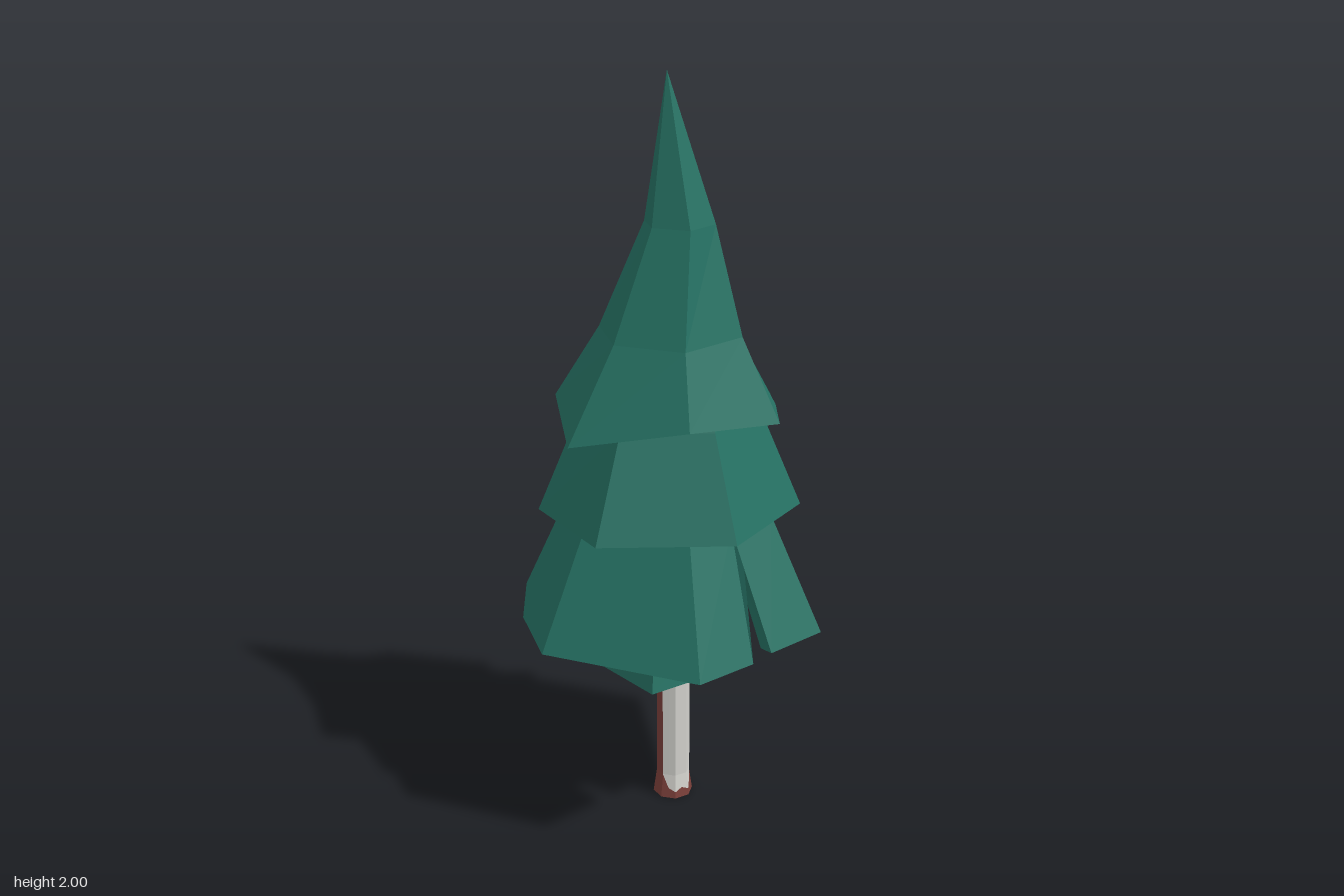
import * as THREE from 'three';

const needles = new THREE.MeshStandardMaterial({ color: 0x267163 });
const bark = new THREE.MeshStandardMaterial({ color: 0x7c403a });
const paleBark = new THREE.MeshStandardMaterial({ color: 0xd2d1cc });

const AXIS = [0.015, -0.01];

// Joins rings of [x, y, z] points into a faceted skin
function loft(name, rings, material, closed = true) {
  const pos = [];
  const a = new THREE.Vector3(), b = new THREE.Vector3(), c = new THREE.Vector3();
  const tri = (p, q, r) => {
    a.fromArray(p); b.fromArray(q); c.fromArray(r);
    if (b.sub(a).cross(c.sub(a)).length() > 1e-8) pos.push(...p, ...q, ...r);
  };
  for (let k = 0; k + 1 < rings.length; k++) {
    const lo = rings[k], hi = rings[k + 1], n = lo.length;
    for (let i = 0; i < (closed ? n : n - 1); i++) {
      const j = (i + 1) % n;
      tri(lo[i], lo[j], hi[j]);
      tri(lo[i], hi[j], hi[i]);
    }
  }
  const geo = new THREE.BufferGeometry();
  geo.setAttribute('position', new THREE.Float32BufferAttribute(pos, 3));
  geo.computeVertexNormals();
  const mesh = new THREE.Mesh(geo, material);
  mesh.name = name;
  return mesh;
}

// Scales a ring about the trunk axis, optionally moving it to height y
const scaled = (ring, s, y) => ring.map(p => [
  AXIS[0] + (p[0] - AXIS[0]) * s, y ?? p[1], AXIS[1] + (p[2] - AXIS[1]) * s]);

// Rim without its slit: the slit's three columns meet in one point
function withoutSlit(rim, k) {
  if (k === undefined) return rim;
  const l = rim[k - 1], r = rim[k + 1];
  const mid = l.map((v, i) => (v + r[i]) / 2);
  return rim.map((p, i) => (Math.abs(i - k) < 2 ? mid : p));
}

// A hollow skirt of branches: ceiling, inner wall, rim, outer rings, tip
function tier(name, rim, rings, tip) {
  const inner = scaled(rings[0], 0.87);
  const ceiling = rim.map(() => [AXIS[0], rings[0][0][1], AXIS[1]]);
  return loft(name, [ceiling, inner, scaled(rim, 0.9), rim, ...rings, rim.map(() => tip)], needles);
}

export function createModel() {
  const tree = new THREE.Group();
  tree.name = 'pineTree';

  // Small lowest skirt
  const low = [[0.07, 0.45, 0.215], [0.205, 0.46, 0.11], [0.235, 0.49, -0.02], [0.19, 0.455, -0.15],
    [0, 0.455, -0.235], [-0.17, 0.45, -0.14], [-0.21, 0.44, 0.1]];
  tree.add(tier('lowestBranches', low, [scaled(low, 0.8, 0.64)], [0.015, 0.7, -0.01]));

  // Widest skirt, slit at the front
  const wide = [[-0.29, 0.575, 0.31], [-0.115, 0.57, 0.35], [-0.068, 0.8, 0.285], [-0.055, 0.58, 0.365],
    [0.12, 0.58, 0.405], [0.41, 0.58, 0.095], [0.29, 0.575, -0.31], [-0.12, 0.58, -0.41],
    [-0.275, 0.575, -0.285], [-0.41, 0.58, -0.1]];
  const wideUp = withoutSlit(wide, 2);
  tree.add(tier('wideBranches', wide, [scaled(wideUp, 0.66, 0.89), scaled(wideUp, 0.48, 1.05)], [0.015, 1.1, -0.01]));

  // Middle skirt, slit at the back
  const middle = [[-0.13, 0.89, 0.305], [0.215, 0.88, 0.27], [0.355, 0.865, -0.05], [0.145, 0.85, -0.33],
    [-0.03, 0.85, -0.35], [-0.17, 0.87, -0.295], [-0.135, 1.08, -0.215], [-0.21, 0.87, -0.275],
    [-0.34, 0.885, 0.025]];
  const midUp = withoutSlit(middle, 6);
  tree.add(tier('middleBranches', middle, [scaled(midUp, 0.67, 1.15), scaled(midUp, 0.45, 1.3)], [0.015, 1.36, -0.01]));

  // Pointed crown, slit at the front on its left
  const crown = [[0.105, 1.135, 0.27], [0.215, 1.14, 0.185], [0.165, 1.33, 0.095], [0.275, 1.14, 0.13],
    [0.34, 1.14, 0.02], [0.2, 1.15, -0.28], [-0.09, 1.15, -0.31], [-0.29, 1.105, -0.1], [-0.18, 1.175, 0.195]];
  const atHeight = (y, pts) => [0, 1, 1, 1, 2, 3, 4, 5, 6].map(i => [pts[i][0], y, pts[i][1]]);
  tree.add(tier('crownBranches', crown, [
    atHeight(1.35, [[0.085, 0.165], [0.157, 0.088], [0.225, 0.01], [0.145, -0.165], [-0.05, -0.19], [-0.165, -0.05], [-0.11, 0.13]]),
    atHeight(1.63, [[0.07, 0.09], [0.1, 0.055], [0.125, 0.02], [0.1, -0.07], [0, -0.08], [-0.06, -0.01], [-0.03, 0.085]]),
  ], [0.015, 2, -0.02]));

  // Eight-sided trunk with a flared foot
  const SIDES = 8, STEP = Math.PI * 2 / SIDES;
  const radius = y => 0.045 + 0.01 * Math.max(0, 1 - y / 0.07);
  const trunkPoint = (angle, y, extra = 0) => {
    const off = angle - Math.floor(angle / STEP) * STEP - STEP / 2;
    const r = radius(y) * Math.cos(STEP / 2) / Math.cos(off) + extra;
    return [AXIS[0] + Math.sin(angle) * r, y, Math.cos(angle) * r];
  };
  const trunkRing = y => Array.from({ length: SIDES }, (_, i) => trunkPoint(i * STEP, y));
  tree.add(loft('trunk', [0, 0.07, 0.6].map(trunkRing), bark));
  tree.add(loft('trunkFoot', [trunkRing(0).map(() => [AXIS[0], 0, 0]), trunkRing(0)], paleBark));

  // Peeling pale bark on the front, with a ragged lower edge
  const edge = [0.07, 0.03, 0.02, 0.03, 0.02, 0.04, 0.15, 0.04, 0.06, 0.03, 0.07, 0.2];
  const strip = f => edge.map((low, i) => trunkPoint((i - 4) * STEP / 2, f(low), 0.002));
  tree.add(loft('paleBark', [strip(l => l), strip(l => Math.max(l, 0.07)), strip(() => 0.5)], paleBark, false));

  return tree;
}
